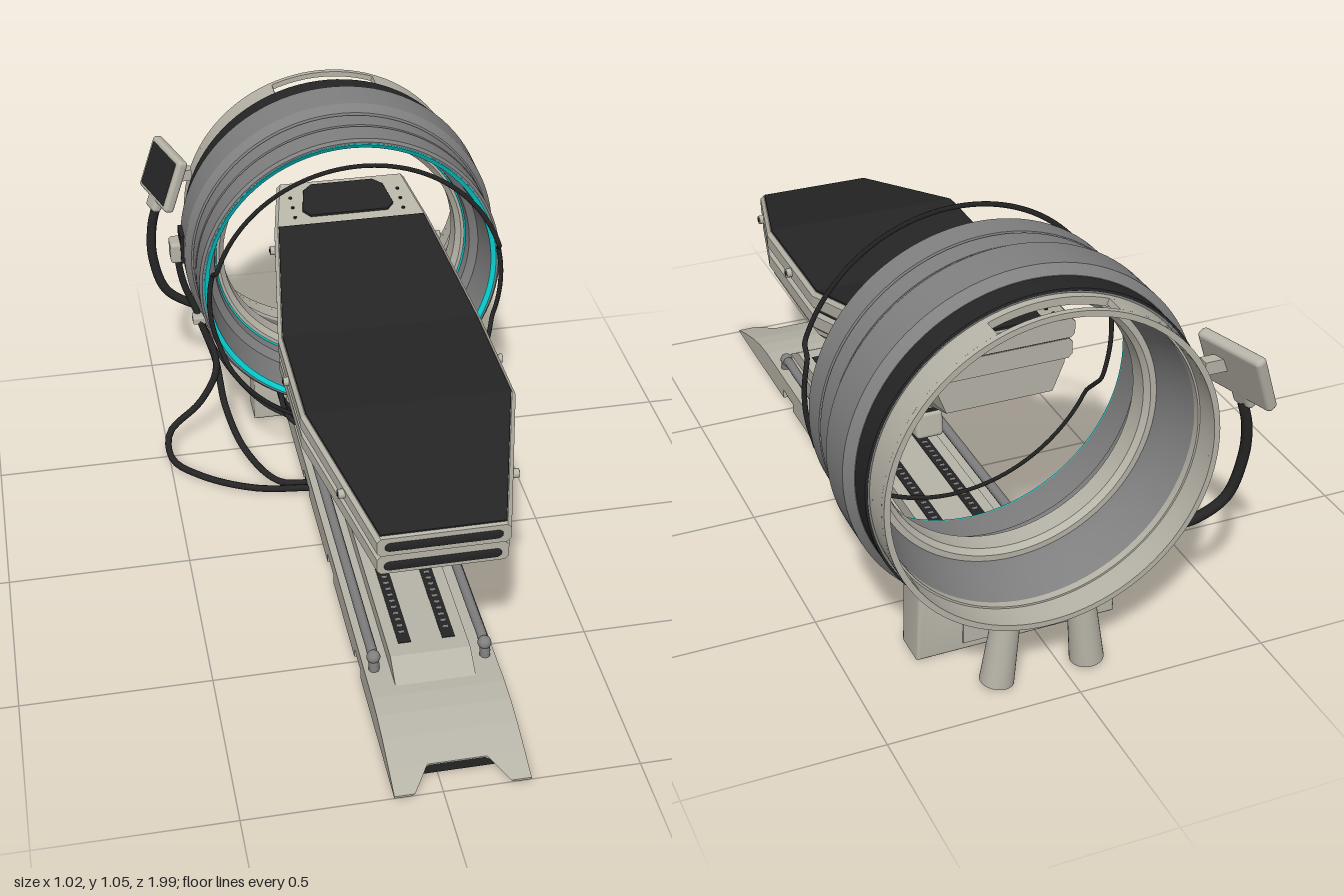
import * as THREE from 'three';
import { toCreasedNormals } from 'three/addons/utils/BufferGeometryUtils.js';
import { RoundedBoxGeometry } from 'three/addons/geometries/RoundedBoxGeometry.js';

const CX = 0.05, CY = 0.592; // gantry axis
const paint = (name, color) => Object.assign(new THREE.MeshStandardMaterial({ color }), { name });

export function createModel() {
  const root = new THREE.Group();
  root.name = 'bodyScanner';
  const shell = paint('warm grey shell', 0xb7b4a8);
  const grey = paint('gantry grey', 0x808081);
  const dark = paint('black padding', 0x252525);
  const cyan = paint('cyan light', 0x08d2d4);

  const add = (name, geo, mat, x = 0, y = 0, z = 0, parent = root) => {
    const m = new THREE.Mesh(geo, mat);
    m.name = name;
    m.position.set(x, y, z);
    parent.add(m);
    return m;
  };
  const box = (name, w, h, d, mat, x, y, z, parent) => add(name, new THREE.BoxGeometry(w, h, d), mat, x, y, z, parent);

  // Flat-shaded skin over cross-sections: each is counter-clockwise seen from +z, ordered back to front
  const loft = (sections) => {
    const pos = [], tri = (...p) => p.forEach(v => pos.push(...v));
    const n = sections[0].length;
    for (let s = 0; s < sections.length - 1; s++) {
      const a = sections[s], b = sections[s + 1];
      for (let i = 0; i < n; i++) {
        const j = (i + 1) % n;
        tri(a[i], a[j], b[j]);
        tri(a[i], b[j], b[i]);
      }
    }
    const back = sections[0], front = sections[sections.length - 1];
    for (let i = 1; i < n - 1; i++) {
      tri(back[0], back[i + 1], back[i]);
      tri(front[0], front[i], front[i + 1]);
    }
    const g = new THREE.BufferGeometry();
    g.setAttribute('position', new THREE.Float32BufferAttribute(pos, 3));
    g.computeVertexNormals();
    return g;
  };

  // Closed [radius, z] profile turned around the gantry axis
  const ring = (name, profile, mat) => {
    const pts = [...profile, profile[0]].map(p => new THREE.Vector2(...p));
    const g = new THREE.LatheGeometry(pts, 96).rotateX(Math.PI / 2).toNonIndexed();
    return add(name, toCreasedNormals(g, 0.35), mat, CX, CY, 0);
  };
  const tube = (name, pts, r, mat = dark, closed = false) => {
    const c = new THREE.CatmullRomCurve3(pts.map(p => new THREE.Vector3(...p)), closed);
    return add(name, new THREE.TubeGeometry(c, closed ? 160 : 48, r, 8, closed), mat);
  };
  // [z, y] outline extruded across the width
  const across = (name, pts, half, mat) => {
    const s = new THREE.Shape(pts.map(p => new THREE.Vector2(...p)));
    const g = new THREE.ExtrudeGeometry(s, { depth: half * 2, bevelEnabled: false });
    return add(name, g.rotateY(-Math.PI / 2), mat, CX + half, 0, 0);
  };

  // Gantry
  ring('gantryBody', [[0.437, -0.775], [0.457, -0.75], [0.457, -0.64], [0.441, -0.612], [0.432, -0.609],
    [0.437, -0.604], [0.437, -0.545], [0.431, -0.543], [0.431, -0.537], [0.437, -0.535], [0.437, -0.462], [0.43, -0.453],
    [0.424, -0.453], [0.41, -0.463], [0.404, -0.5], [0.398, -0.57], [0.377, -0.59], [0.371, -0.63], [0.371, -0.7], [0.38, -0.75],
    [0.405, -0.84], [0.43, -0.84], [0.43, -0.775]], grey);
  ring('gantryBand', [[0.43, -0.842], [0.436, -0.84], [0.436, -0.776], [0.43, -0.774]], dark);
  ring('boreLiner', [[0.374, -0.71], [0.374, -0.625], [0.36, -0.625], [0.345, -0.64], [0.345, -0.695], [0.357, -0.71]], shell);
  ring('frontLight', [[0.41, -0.47], [0.425, -0.47], [0.425, -0.452], [0.423, -0.451], [0.41, -0.459]], cyan);
  add('boreLight', new THREE.TorusGeometry(0.3715, 0.0035, 6, 96), cyan, CX, CY, -0.621);

  // Rear collar with a slot at the top
  ring('collarRim', [[0.41, -0.93], [0.425, -0.93], [0.425, -0.915], [0.41, -0.915]], shell);
  ring('collarRoot', [[0.405, -0.86], [0.425, -0.86], [0.425, -0.84], [0.405, -0.84]], shell);
  const a0 = Math.PI / 2 + 0.36, a1 = Math.PI * 2.5 - 0.36;
  const arc = new THREE.Shape();
  arc.absarc(0, 0, 0.425, a0, a1, false);
  arc.absarc(0, 0, 0.41, a1, a0, true);
  const collar = new THREE.ExtrudeGeometry(arc, { depth: 0.055, bevelEnabled: false, curveSegments: 72 });
  add('collarWall', toCreasedNormals(collar, 0.35), shell, CX, CY, -0.915);

  // Thin flat guard hoop, stepped back at both sides
  const hoop = [], flat = 0.35;
  for (let i = 0; i < 80; i++) {
    const a = i / 80 * Math.PI * 2, y = Math.sin(a) * 0.419;
    const t = THREE.MathUtils.smoothstep(y, -0.18, -0.14) * (1 - THREE.MathUtils.smoothstep(y, 0.09, 0.13));
    hoop.push([CX + Math.cos(a) * 0.419, CY + y, (-0.336 - 0.042 * t) / flat]);
  }
  tube('guardHoop', hoop, 0.007, dark, true).scale.z = flat;

  // Saddle under the gantry and rear feet
  const sad = new THREE.Shape();
  sad.moveTo(-0.26, 0.01);
  sad.lineTo(0.26, 0.01);
  sad.lineTo(0.26, 0.208);
  sad.absarc(0, CY, 0.464, -0.989, -Math.PI + 0.989, true);
  sad.lineTo(-0.26, 0.208);
  const sadGeo = new THREE.ExtrudeGeometry(sad, { depth: 0.085, bevelSize: 0.01, bevelThickness: 0.01, bevelSegments: 3, curveSegments: 32 });
  add('saddle', toCreasedNormals(sadGeo, 0.6), shell, CX, 0, -0.735);
  box('saddlePanel', 0.3, 0.07, 0.008, shell, CX, 0.06, -0.746);
  for (const s of [-1, 1]) {
    const foot = add('rearFoot', new THREE.CylinderGeometry(0.035, 0.043, 0.184, 32), shell, CX + s * 0.11, 0.098, -0.887);
    foot.rotation.z = s * 0.12;
  }

  // Base beam with cable channels across its underside
  const channels = [[-0.32, -0.23], [0.08, 0.17], [0.48, 0.565]];
  const beam = [[-0.64, 0]];
  for (const [a, b] of channels) beam.push([a, 0], [a, 0.028], [b, 0.028], [b, 0]);
  beam.push([0.93, 0], [0.93, 0.029], [0.85, 0.053], [0.78, 0.067], [0.72, 0.072], [-0.64, 0.072]);
  across('baseBeam', beam, 0.172, shell);
  for (const [a] of channels) box('channelLining', 0.343, 0.004, 0.06, dark, CX, 0.027, a + 0.031);
  box('channelCable', 0.343, 0.018, 0.05, dark, CX, 0.016, -0.275);
  for (const s of [-1, 1]) { // forked nose
    const cut = (z, inB, inT, h) => {
      const x0 = s > 0 ? CX + inB : CX - 0.172, x1 = s > 0 ? CX + 0.172 : CX - inB;
      const t0 = s > 0 ? CX + inT : CX - 0.172, t1 = s > 0 ? CX + 0.172 : CX - inT;
      return [[x0, 0, z], [x1, 0, z], [t1, h, z], [t0, h, z]];
    };
    add('noseFork', loft([cut(0.93, 0.11, 0.075, 0.029), cut(1, 0.13, 0.12, 0.006)]), shell);
  }
  const cutout = new THREE.Shape([[-0.11, 0], [0.11, 0], [0.07, 0.028], [-0.07, 0.028]].map(p => new THREE.Vector2(...p)));
  add('noseCutout', new THREE.ShapeGeometry(cutout), dark, CX, 0, 0.932);

  // Raised track with two ribbed slots, and rails on both sides
  across('track', [[-0.64, 0.07], [0.69, 0.07], [0.62, 0.112], [-0.64, 0.112]], 0.105, shell);
  const rib = new THREE.BoxGeometry(0.014, 0.003, 0.008);
  for (const s of [-1, 1]) {
    const x = CX + s * 0.146;
    tube('sideRail', [[x, 0.06, 0.615], [x, 0.095, 0.612], [x, 0.107, 0.59], [x, 0.107, 0.5], [x, 0.107, 0], [x, 0.107, -0.64]], 0.014, grey);
    add('railElbow', new THREE.SphereGeometry(0.018, 20, 14), grey, x, 0.106, 0.605);
    box('trackSlot', 0.034, 0.004, 0.95, dark, CX + s * 0.058, 0.112, 0.1);
    for (let i = 0; i < 36; i++) add('trackRib', rib, grey, CX + s * 0.058, 0.1135, -0.34 + i * 0.025);
  }

  // Table: [z, half width, top height], head to foot
  const plan = [[-0.63, 0.185, 0.815], [-0.45, 0.22, 0.774], [-0.04, 0.277, 0.682], [0.325, 0.277, 0.686], [0.737, 0.165, 0.593]];
  const topAt = z => {
    let i = 0;
    while (i < plan.length - 2 && z > plan[i + 1][0]) i++;
    const [p, q] = [plan[i], plan[i + 1]], t = (z - p[0]) / (q[0] - p[0]);
    return [z, p[1] + (q[1] - p[1]) * t, p[2] + (q[2] - p[2]) * t];
  };
  const slab = (name, stations, top, bottom, inset, mat, c = 0.01) => add(name, loft(stations.map(([z, w, y]) => {
    const h = w - inset;
    return [[-h + c, y + bottom], [h - c, y + bottom], [h, y + bottom + c], [h, y + top - c], [h - c, y + top], [-h + c, y + top],
      [-h, y + top - c], [-h, y + bottom + c]].map(([px, py]) => [CX + px, py, z]);
  })), mat);
  slab('tableTop', plan, 0, -0.052, 0, shell);
  slab('tableGap', plan.map(([z, w, y]) => [z * 0.985, w, y]), -0.045, -0.065, 0.012, dark, 0.002);
  slab('tableTray', plan.map(([z, w, y]) => [z * 0.99, w, y]), -0.058, -0.112, 0.002, shell);
  slab('mattress', [topAt(-0.455), ...plan.slice(2, 4), topAt(0.727)], 0.004, -0.003, 0.012, dark, 0.001);
  const rest = [[-0.612, 0.09], [-0.59, 0.115], [-0.51, 0.13], [-0.487, 0.11]].map(([z, w]) => [z, w, topAt(z)[2]]);
  slab('headrest', rest, 0.006, -0.002, 0, dark, 0.001);

  // Hull: [z, top half, top y, bottom half, bottom y]
  const hull = [[-0.61, 0.17, 0.705, 0.14, 0.61], [-0.45, 0.205, 0.668, 0.11, 0.53], [-0.18, 0.24, 0.61, 0.055, 0.39],
    [-0.04, 0.262, 0.575, 0.05, 0.345], [0.22, 0.262, 0.575, 0.05, 0.34], [0.325, 0.262, 0.578, 0.075, 0.37], [0.715, 0.155, 0.49, 0.15, 0.478]];
  add('tableHull', loft(hull.map(([z, w, t, b, y]) =>
    [[CX - b, y, z], [CX + b, y, z], [CX + w, t - 0.02, z], [CX + w, t, z], [CX - w, t, z], [CX - w, t - 0.02, z]])), shell);

  // Table fittings: end slots, side knobs, head buttons
  for (const y of [0.566, 0.503]) {
    const slot = new THREE.CapsuleGeometry(0.014, 0.264, 6, 12).rotateZ(Math.PI / 2).scale(1, 1, 0.3);
    add('endSlot', slot, dark, CX, y, y > 0.53 ? 0.736 : 0.729);
  }
  const knob = new THREE.CylinderGeometry(0.012, 0.012, 0.02, 16).rotateZ(Math.PI / 2);
  const knobCap = new THREE.CylinderGeometry(0.006, 0.006, 0.003, 12).rotateZ(Math.PI / 2);
  const button = new THREE.CylinderGeometry(0.005, 0.005, 0.006, 12);
  for (const s of [-1, 1]) {
    for (const z of [-0.4, 0.13, 0.56]) {
      const [, w, y] = topAt(z);
      add('sideKnob', knob, shell, CX + s * (w + 0.004), y - 0.026, z);
      add('knobCap', knobCap, dark, CX + s * (w + 0.0145), y - 0.026, z);
    }
    for (const z of [-0.49, -0.53, -0.57]) add('headButton', button, dark, CX + s * 0.155, topAt(z)[2], z);
  }

  // Pedestal below the hull, tilted towards the foot end
  const ped = new THREE.Group();
  ped.name = 'pedestal';
  ped.position.set(CX, 0.335, 0);
  ped.rotation.x = 0.12;
  add('pedestalCollar', new RoundedBoxGeometry(0.102, 0.085, 0.345, 3, 0.015), shell, 0, 0.024, 0, ped);
  box('pedestalJoint', 0.084, 0.014, 0.318, dark, 0, -0.022, 0, ped);
  add('pedestalFoot', new RoundedBoxGeometry(0.078, 0.077, 0.305, 3, 0.012), shell, 0, -0.066, -0.012, ped);
  root.add(ped);

  // Control tablet on the right side of the gantry
  const tab = new THREE.Group();
  tab.name = 'controlTablet';
  tab.position.set(-0.434, 0.745, -0.887);
  tab.rotation.set(-0.36, -1.28, 0, 'YXZ');
  add('tabletCase', new RoundedBoxGeometry(0.2, 0.165, 0.032, 3, 0.012), shell, 0, 0, 0, tab);
  add('tabletScreen', new RoundedBoxGeometry(0.165, 0.135, 0.006, 2, 0.003), dark, 0, 0, 0.016, tab);
  add('tabletGrip', new RoundedBoxGeometry(0.06, 0.05, 0.03, 3, 0.012), shell, 0, -0.09, 0, tab);
  root.add(tab);
  box('tabletArm', 0.06, 0.035, 0.03, shell, -0.385, 0.755, -0.86);
  add('cableBracket', new RoundedBoxGeometry(0.035, 0.065, 0.06, 3, 0.01), shell, -0.427, 0.595, -0.7);
  box('bracketPad', 0.03, 0.09, 0.07, dark, -0.4, 0.61, -0.7);
  add('cableClip', new RoundedBoxGeometry(0.04, 0.025, 0.04, 2, 0.006), shell, -0.372, 0.37, -0.67);
  const plug = add('cablePlug', new THREE.CylinderGeometry(0.022, 0.022, 0.06, 20), shell, -0.305, 0.29, -0.84);
  plug.rotation.z = 0.9;

  // Cables
  tube('tabletCable', [[-0.46, 0.65, -0.88], [-0.478, 0.58, -0.88], [-0.483, 0.48, -0.87], [-0.45, 0.365, -0.86], [-0.38, 0.315, -0.85], [-0.32, 0.3, -0.84]], 0.014);
  tube('floorCable', [[-0.425, 0.58, -0.7], [-0.41, 0.48, -0.7], [-0.372, 0.37, -0.68], [-0.335, 0.24, -0.6], [-0.39, 0.14, -0.57],
    [-0.49, 0.06, -0.54], [-0.495, 0.02, -0.46], [-0.42, 0.012, -0.37], [-0.27, 0.012, -0.28], [-0.1, 0.012, -0.25]], 0.01);
  tube('innerCable', [[-0.372, 0.37, -0.66], [-0.335, 0.25, -0.62], [-0.32, 0.13, -0.54], [-0.28, 0.05, -0.42], [-0.2, 0.02, -0.29], [-0.1, 0.016, -0.27]], 0.01);
  tube('thinCable', [[-0.36, 0.31, -0.72], [-0.29, 0.2, -0.62], [-0.2, 0.11, -0.56], [-0.06, 0.08, -0.45]], 0.005);
  for (let i = 0; i < 3; i++) {
    const z = -0.63 + i * 0.04;
    tube('gantryCable', [[-0.14, 0.2, z], [-0.152, 0.15, z + 0.02], [-0.135, 0.105, z + 0.07], [-0.05, 0.085, z + 0.14]], 0.008);
  }
  return root;
}
